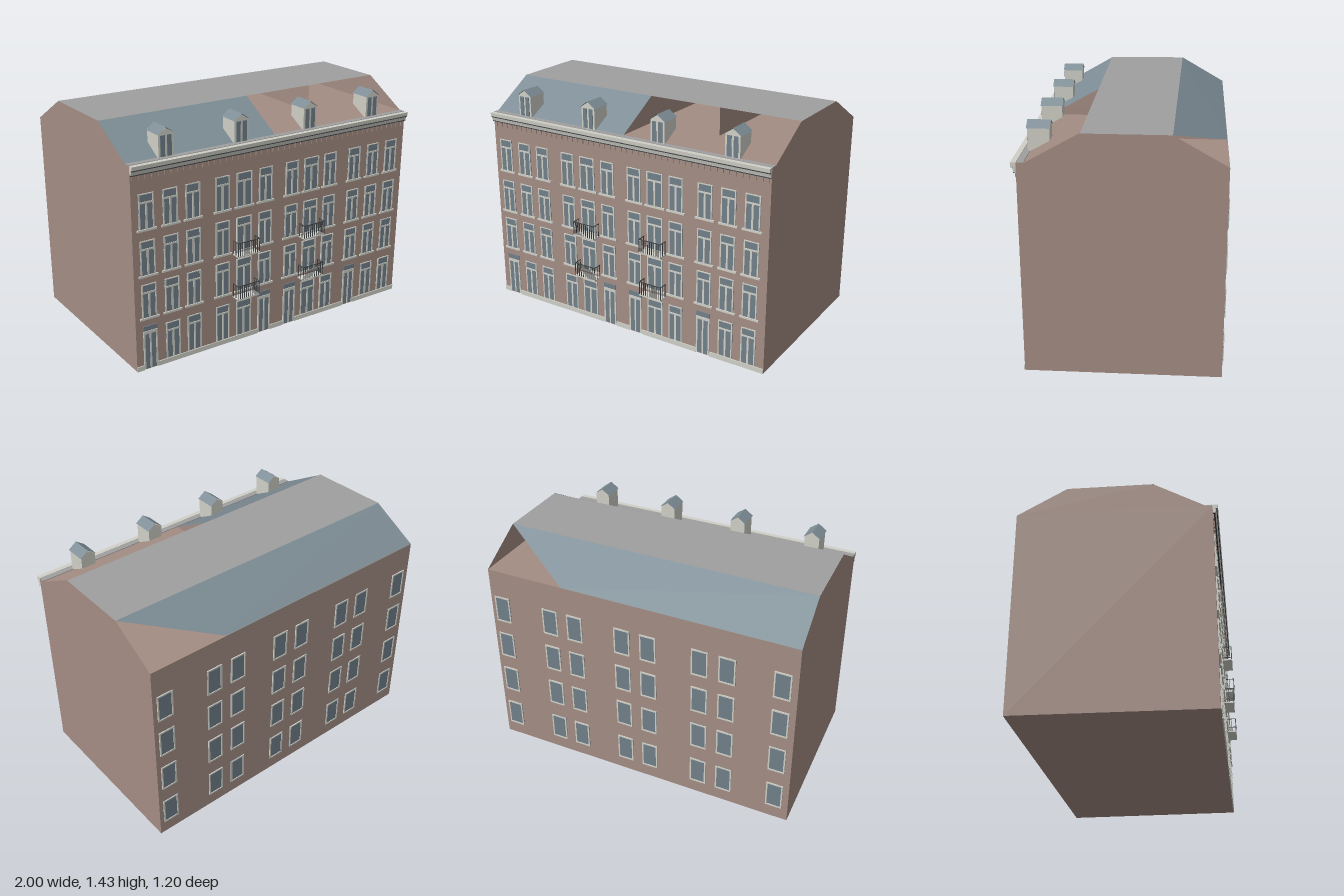
import * as THREE from 'three';
import { mergeGeometries } from 'three/addons/utils/BufferGeometryUtils.js';

const material = (name, color, side = THREE.FrontSide) =>
  new THREE.MeshStandardMaterial({ name, color, side });

export function createModel() {
  const model = new THREE.Group();
  model.name = 'townhouseRow';
  const brick = material('brick', 0xa48d84, THREE.DoubleSide);
  const slate = material('slate', 0x7e8d96, THREE.DoubleSide);
  const lead = material('flatRoofGrey', 0x9f9f9f, THREE.DoubleSide);
  const cream = material('creamStone', 0xd0d0c8, THREE.DoubleSide);
  const glass = material('glass', 0x72808a);
  const iron = material('darkIron', 0x3c4145);

  const add = (name, geometry, mat, parent = model) => {
    const mesh = new THREE.Mesh(geometry, mat);
    mesh.name = name;
    parent.add(mesh);
    return mesh;
  };

  // Flat convex polygons, corners counter-clockwise from outside
  const faces = (name, mat, polygons, parent) => {
    const pos = [];
    for (const p of polygons)
      for (let i = 1; i < p.length - 1; i++) pos.push(...p[0], ...p[i], ...p[i + 1]);
    const g = new THREE.BufferGeometry();
    g.setAttribute('position', new THREE.Float32BufferAttribute(pos, 3));
    g.computeVertexNormals();
    return add(name, g, mat, parent);
  };

  // Boxes given by their limits, merged into one part
  const boxes = (name, mat, list, parent) => add(name, mergeGeometries(
    list.map(([x0, x1, y0, y1, z0, z1]) =>
      new THREE.BoxGeometry(x1 - x0, y1 - y0, z1 - z0)
        .translate((x0 + x1) / 2, (y0 + y1) / 2, (z0 + z1) / 2))), mat, parent);

  // Main measurements; the left end wall is slightly skewed
  const F = 0.54, B = -0.59, EAVE = 1.255, TOP = 1.425, R0 = 0.2, R1 = -0.29, S = 0.5;
  const L = z => -0.96 - (F - z) * 0.035;
  const BL = -0.597;

  // Brick block with attic floor
  faces('brickWalls', brick, [
    [[L(F), 0, F], [1, 0, F], [1, EAVE, F], [L(F), EAVE, F]],
    [[1, 0, B], [L(BL), 0, BL], [L(BL), EAVE, BL], [1, EAVE, B]],
    [[1, 0, F], [1, 0, B], [1, EAVE, B], [1, EAVE, F]],
    [[L(BL), 0, BL], [L(F), 0, F], [L(F), EAVE, F], [L(BL), EAVE, BL]],
    [[L(BL), 0, BL], [1, 0, B], [1, 0, F], [L(F), 0, F]],
  ]);
  faces('atticFloor', brick, [
    [[L(F), EAVE, F], [1, EAVE, F], [1, EAVE, B], [L(BL), EAVE, BL]]]);
  faces('gables', brick, [
    [[1, EAVE, S], [1, EAVE, B], [1, TOP, R1], [1, TOP, R0]],
    [[L(BL), EAVE, BL], [L(S), EAVE, S], [L(R0), TOP, R0], [L(R1), TOP, R1 - 0.015]],
  ]);
  faces('atticPartitions', brick, [
    [[0.01, EAVE, S], [0.01, EAVE, B], [0.01, TOP - 0.002, R1], [0.01, TOP - 0.002, R0]],
    [[0.49, EAVE, R0], [0.49, EAVE, B], [0.49, TOP - 0.002, R1], [0.49, TOP - 0.002, R0]],
  ]);

  // Roof: flat top, half a front slope, rear slope cut off at the left end
  faces('flatRoof', lead, [
    [[L(R0), TOP, R0 + 0.005], [1, TOP, R0 - 0.005], [1, TOP, R1], [L(R1), TOP, R1 - 0.015]]]);
  faces('frontSlope', slate, [
    [[L(S), EAVE, S], [0.015, EAVE, S], [0.015, TOP, R0], [L(R0), TOP, R0]]]);
  faces('rearSlope', slate, [
    [[0.49, EAVE, B], [L(BL), EAVE, BL], [L(R1), TOP, R1 - 0.015], [1, TOP, R1]]]);

  // Cornice: profile swept along the front
  const profile = [[F, 1.2], [0.552, 1.2], [0.556, 1.215], [0.56, 1.228], [0.568, 1.236],
    [0.57, 1.258], [F, 1.258]];
  const cornice = new THREE.ExtrudeGeometry(
    new THREE.Shape(profile.map(([z, y]) => new THREE.Vector2(-z, y))),
    { depth: 1 - L(F), bevelEnabled: false });
  add('cornice', cornice.rotateY(Math.PI / 2).translate(L(F), 0, 0), cream);
  boxes('gutter', lead, [[L(F), 1, 1.25, 1.259, S, 0.536]]);
  boxes('corniceShadowLine', iron, [[L(F), 1, 1.229, 1.234, 0.556, 0.566], [L(F), 1, 1.2, 1.205, F, 0.554]]);
  const dentils = [];
  for (let x = L(F) + 0.01; x < 0.98; x += 0.04) dentils.push([x, x + 0.02, 1.17, 1.2, F, 0.546]);
  boxes('dentils', brick, dentils);

  // Front windows and doors
  const columns = [-0.87, -0.72, -0.575, -0.378, -0.228, -0.078, 0.115, 0.26, 0.405, 0.597, 0.747, 0.897];
  const doorColumns = [0, 5, 6, 9];
  const rows = [[0.035, 0.265], [0.335, 0.545], [0.6, 0.81], [0.878, 1.087]];
  const frames = [], panes = [], sills = [], doorFrames = [], doorPanels = [], canopies = [];
  columns.forEach((x, c) => rows.forEach(([y0, y1], r) => {
    const w = c === 4 || c === 7 ? 0.054 : 0.047, z = 0.547;
    if (r === 0 && doorColumns.includes(c)) {
      doorPanels.push([x - 0.043, x + 0.043, 0.005, 0.238, F, 0.543]);
      for (const d of [-0.04, 0, 0.04])
        doorFrames.push([x + d - 0.005, x + d + 0.005, 0.005, 0.238, F, z]);
      doorFrames.push([x - 0.045, x + 0.045, 0.232, 0.25, F, z]);
      canopies.push([x - 0.045, x + 0.045, 0.252, 0.282, F, 0.546]);
      return;
    }
    panes.push([x - w, x + w, y0, y1, F, 0.543]);
    const bar = y1 - 0.052;
    frames.push([x - w, x - w + 0.008, y0, y1, F, z], [x + w - 0.008, x + w, y0, y1, F, z],
      [x - 0.006, x + 0.006, y0, bar, F, z], [x - w, x + w, bar - 0.005, bar + 0.005, F, z],
      [x - w, x + w, y1 - 0.005, y1, F, z]);
    if (r > 0) sills.push([x - w - 0.014, x + w + 0.014, y0 - 0.01, y0 + 0.002, F, 0.55]);
  }));
  boxes('frontWindowFrames', cream, frames);
  boxes('frontWindowGlass', glass, panes);
  boxes('frontSills', cream, sills);
  boxes('doorFrames', cream, doorFrames);
  boxes('doorPanels', glass, doorPanels);
  boxes('doorCanopies', glass, canopies);

  // Plinth, broken at the doors
  const plinth = [];
  let start = L(F);
  for (const c of [...doorColumns, -1]) {
    const end = c < 0 ? 1 : columns[c] - 0.045;
    plinth.push([start, end, 0, 0.03, F, 0.546]);
    start = end + 0.09;
  }
  boxes('plinth', cream, plinth);

  // Rear windows: pane set in a thin frame
  const rearFrames = [], rearPanes = [];
  for (const x of [0.92, 0.58, 0.41, 0.09, -0.08, -0.41, -0.58, -0.91])
    for (const y of [0.085, 0.365, 0.635, 0.9]) {
      const wall = B - (1 - x) * 0.0035, z = wall - 0.007, h = y + 0.178, a = x - 0.052, b = x + 0.052;
      rearPanes.push([a, b, y, h, wall - 0.003, wall + 0.001]);
      rearFrames.push([a, a + 0.009, y, h, z, wall], [b - 0.009, b, y, h, z, wall],
        [a, b, y, y + 0.009, z, wall], [a, b, h - 0.009, h, z, wall]);
    }
  boxes('rearWindowFrames', cream, rearFrames);
  boxes('rearWindowGlass', glass, rearPanes);

  // Balconies
  for (const x of [-0.228, 0.258])
    for (const y of [0.3, 0.58]) {
      const balcony = new THREE.Group();
      balcony.name = 'balcony';
      model.add(balcony);
      const w = 0.077, top = y + 0.093, t = 0.0018;
      boxes('balconySlab', cream, [[x - w, x + w, y, y + 0.008, F, 0.6]], balcony);
      const rails = [[x - w, x + w, top - 0.004, top, 0.595, 0.599]];
      for (let i = 0; i <= 10; i++) {
        const bx = x - w + t + (i / 10) * (2 * w - 2 * t);
        rails.push([bx - t, bx + t, y + 0.008, top, 0.595, 0.599]);
      }
      for (const s of [-1, 1]) {
        const sx = x + s * (w - t);
        rails.push([sx - t, sx + t, top - 0.004, top, F, 0.599]);
        for (const z of [0.545, 0.57]) rails.push([sx - t, sx + t, y + 0.008, top, z, z + 0.003]);
      }
      boxes('balconyRailing', iron, rails, balcony);
    }

  // Dormers, with sides cut to the roof pitch
  for (const x of [-0.72, -0.23, 0.26, 0.745]) {
    const dormer = new THREE.Group();
    dormer.name = 'dormer';
    dormer.position.x = x;
    model.add(dormer);
    const w = 0.047, f = 0.511, b = 0.388, y0 = 1.25, yb = 1.318, e = 1.39, p = 1.421;
    faces('dormerWalls', cream, [
      [[-w, y0, f], [w, y0, f], [w, e, f], [0, p, f], [-w, e, f]],
      [[w, yb, b], [-w, yb, b], [-w, e, b], [0, p, b], [w, e, b]],
      [[w, y0, f], [w, yb, b], [w, e, b], [w, e, f]],
      [[-w, yb, b], [-w, y0, f], [-w, e, f], [-w, e, b]],
    ], dormer);
    const o = 0.053, rf = 0.516, rb = 0.384, re = 1.388, rp = 1.426;
    faces('dormerRoof', slate, [
      [[o, re, rf], [o, re, rb], [0, rp, rb], [0, rp, rf]],
      [[-o, re, rb], [-o, re, rf], [0, rp, rf], [0, rp, rb]],
    ], dormer);
    boxes('dormerGlass', glass, [-1, 1].map(s =>
      [s * 0.021 - 0.014, s * 0.021 + 0.014, 1.262, 1.382, f, f + 0.003]), dormer);
  }
  return model;
}
